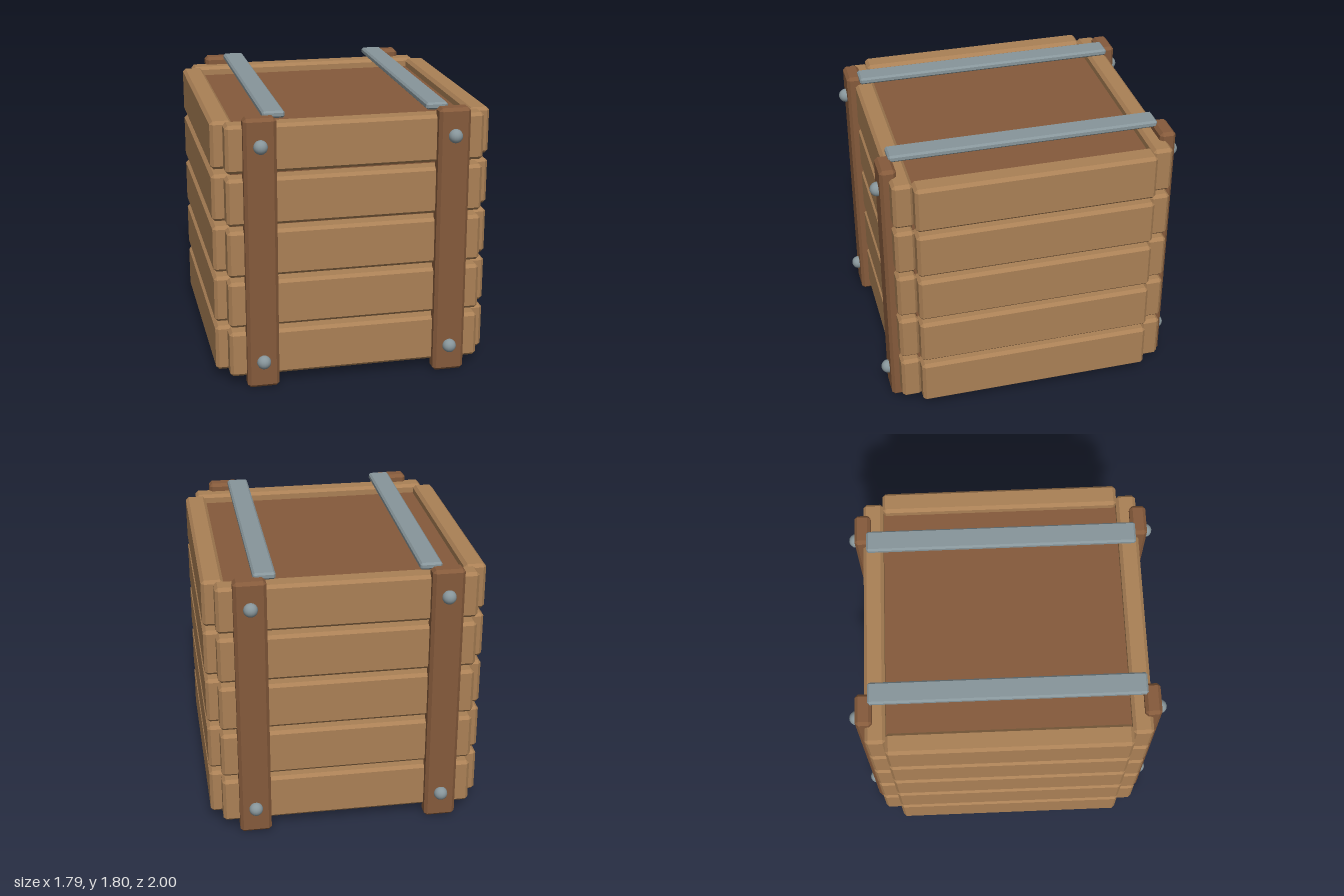
import * as THREE from 'three';
import { ConvexGeometry } from 'three/addons/geometries/ConvexGeometry.js';

const wood = new THREE.MeshStandardMaterial({ color: 0xaa8055, flatShading: true });
const darkWood = new THREE.MeshStandardMaterial({ color: 0x855a3b, flatShading: true });
const metal = new THREE.MeshStandardMaterial({ color: 0x87959a, flatShading: true });
const boltMetal = new THREE.MeshStandardMaterial({ color: 0x87959a });

// Box of size w, h, d with every edge and corner chamfered by c
function chamferBox(w, h, d, c) {
  const points = [];
  for (const sx of [-1, 1]) for (const sy of [-1, 1]) for (const sz of [-1, 1]) {
    const x = w / 2, y = h / 2, z = d / 2;
    points.push(
      new THREE.Vector3(sx * x, sy * (y - c), sz * (z - c)),
      new THREE.Vector3(sx * (x - c), sy * y, sz * (z - c)),
      new THREE.Vector3(sx * (x - c), sy * (y - c), sz * z));
  }
  return new ConvexGeometry(points);
}

export function createModel() {
  const crate = new THREE.Group();
  crate.name = 'crate';

  const add = (name, geometry, material, x, y, z) => {
    const mesh = new THREE.Mesh(geometry, material);
    mesh.name = name;
    mesh.position.set(x, y, z);
    crate.add(mesh);
  };

  // Inner box, recessed at top and bottom
  add('innerBox', new THREE.BoxGeometry(1.55, 1.55, 1.55), darkWood, 0, 0.89, 0);

  // Five rows of planks on all four sides
  const endPlank = chamferBox(1.64, 0.305, 0.13, 0.02);
  const sidePlank = chamferBox(0.14, 0.305, 1.54, 0.02);
  for (let row = 0; row < 5; row++) {
    const y = 0.215 + row * 0.339;
    for (const s of [-1, 1]) {
      add(s > 0 ? 'frontPlank' : 'backPlank', endPlank, wood, 0, y, s * 0.83);
      add(s > 0 ? 'leftPlank' : 'rightPlank', sidePlank, wood, s * 0.825, y, 0);
    }
  }

  // Upright posts with bolts, and metal straps across the top
  const post = chamferBox(0.205, 1.775, 0.105, 0.02);
  const bolt = new THREE.SphereGeometry(0.045, 16, 12);
  const strap = chamferBox(0.14, 0.045, 1.74, 0.012);
  for (const sx of [-1, 1]) {
    for (const sz of [-1, 1]) {
      add('post', post, darkWood, sx * 0.613, 0.8875, sz * 0.897);
      for (const y of [0.18, 1.6]) add('bolt', bolt, boltMetal, sx * 0.613, y, sz * 0.955);
    }
    add('topStrap', strap, metal, sx * 0.516, 1.775, 0);
  }

  return crate;
}
